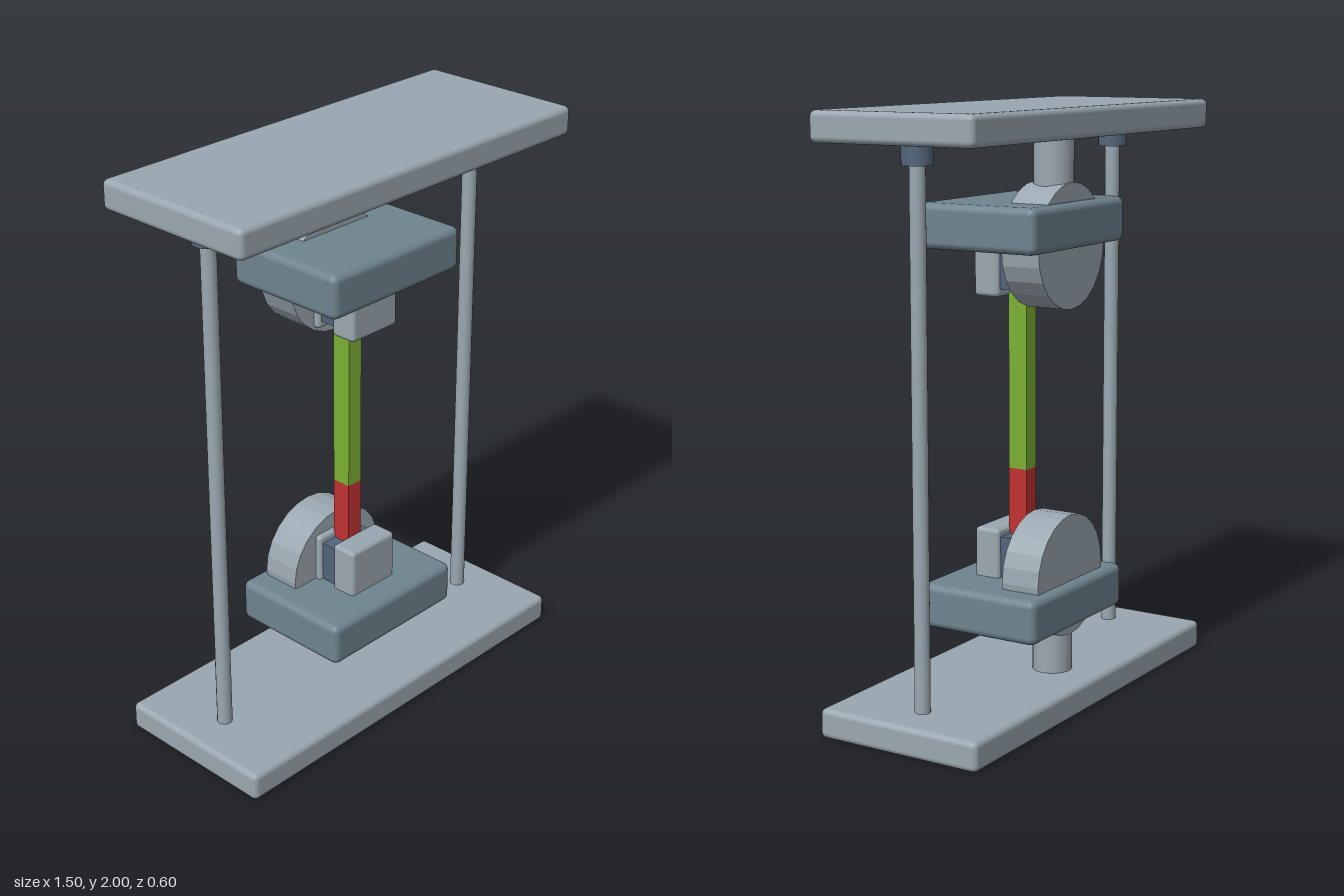
import * as THREE from 'three';
import { RoundedBoxGeometry } from 'three/addons/geometries/RoundedBoxGeometry.js';

const paint = (name, color) => {
  const m = new THREE.MeshStandardMaterial({ color });
  m.name = name;
  return m;
};

export function createModel() {
  const steel = paint('light steel', 0x9aa7b0);
  const gripSteel = paint('grip steel', 0x6f848f);
  const darkSteel = paint('dark steel', 0x52657a);
  const green = paint('green', 0x7cb034);
  const red = paint('red', 0xc23232);

  const model = new THREE.Group();
  model.name = 'tensileTestFrame';

  const add = (parent, name, geometry, material, x, y, z) => {
    const mesh = new THREE.Mesh(geometry, material);
    mesh.name = name;
    mesh.position.set(x, y, z);
    parent.add(mesh);
    return mesh;
  };
  const slab = (w, h, d, r) => new RoundedBoxGeometry(w, h, d, 3, r);

  // Base and crosshead plates
  add(model, 'basePlate', slab(1.5, 0.1, 0.6, 0.02), steel, 0, 0.05, 0);
  add(model, 'topPlate', slab(1.5, 0.1, 0.6, 0.02), steel, 0, 1.95, 0);

  // Side columns with a collar under the top plate
  for (const [side, s] of [['left', 1], ['right', -1]]) {
    add(model, side + 'Column', new THREE.CylinderGeometry(0.026, 0.026, 1.82, 16), steel, s * 0.6, 1.0, 0);
    add(model, side + 'Collar', new THREE.CylinderGeometry(0.05, 0.05, 0.07, 24), darkSteel, s * 0.6, 1.87, 0);
  }

  // Faceted disc lying along z
  const disc = new THREE.CylinderGeometry(0.208, 0.208, 0.14, 24).rotateX(Math.PI / 2).toNonIndexed();
  disc.computeVertexNormals();

  // Grip assemblies; dir points from the plate towards the specimen
  for (const [name, start, dir] of [['lowerGrip', 0, 1], ['upperGrip', 1.982, -1]]) {
    const grip = new THREE.Group();
    grip.name = name;
    const y = (h) => start + dir * h;
    const postTop = 0.42;
    const postFoot = 0.06;
    add(grip, 'post', new THREE.CylinderGeometry(0.067, 0.067, postTop - postFoot, 32), steel,
      0, y((postTop + postFoot) / 2), -0.12);
    add(grip, 'disc', disc, steel, 0, y(0.437), -0.12);
    add(grip, 'block', slab(0.586, 0.15, 0.45, 0.025), gripSteel, 0, y(dir > 0 ? 0.341 : 0.367), 0);
    // Jaws either side of the specimen, with a pad between them
    const jawY = y(dir > 0 ? 0.485 : 0.51);
    add(grip, 'frontJaw', slab(0.21, 0.2, 0.095, 0.015), steel, 0, jawY, 0.0775);
    add(grip, 'rearJaw', slab(0.21, 0.2, 0.095, 0.015), steel, 0, jawY, -0.0775);
    add(grip, 'jawPad', new THREE.BoxGeometry(0.18, 0.17, 0.064), darkSteel, 0, jawY - dir * 0.012, 0);
    model.add(grip);
  }

  // Two-colour test specimen
  add(model, 'lowerSpecimen', new THREE.BoxGeometry(0.06, 0.365, 0.07), red, 0, 0.6025, 0);
  add(model, 'upperSpecimen', new THREE.BoxGeometry(0.06, 0.735, 0.07), green, 0, 1.1525, 0);

  return model;
}
